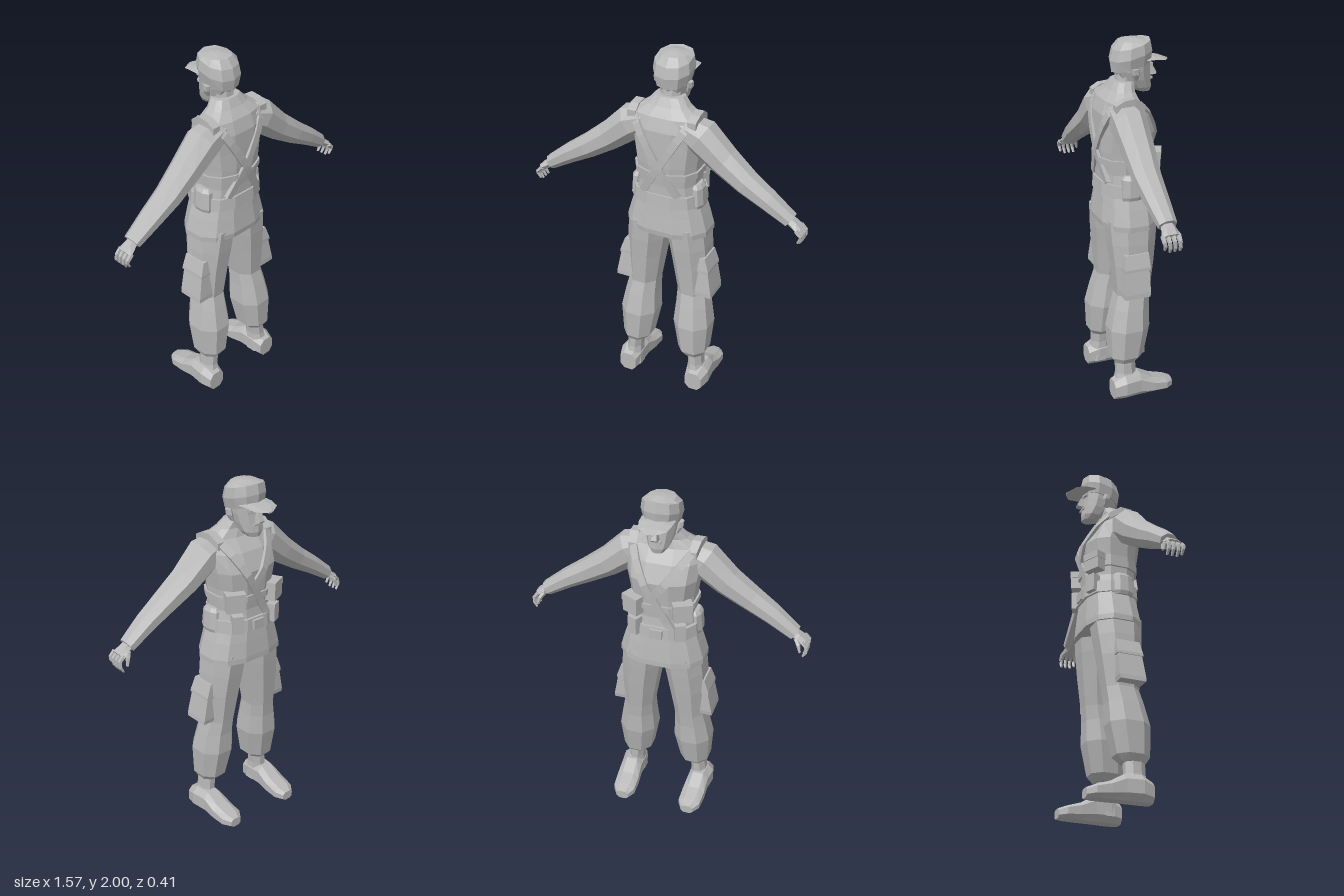
import * as THREE from 'three';

const grey = new THREE.MeshStandardMaterial({ color: 0xb8b8b8, flatShading: true });
grey.name = 'grey';

// Closed skin through rings. Each ring: c = centre, u and v = half-axis vectors.
// p < 1 makes the ring boxier. The skin is turned to face outwards.
function loft(rings, n = 8, p = 1, phase = Math.PI / n) {
  const pw = (t) => Math.sign(t) * Math.pow(Math.abs(t), p);
  const ring = [];
  for (let i = 0; i < n; i++) {
    const a = phase + (i * 2 * Math.PI) / n;
    ring.push([pw(Math.cos(a)), pw(Math.sin(a))]);
  }
  const mx = Math.max(...ring.map((q) => Math.abs(q[0])));
  const my = Math.max(...ring.map((q) => Math.abs(q[1])));
  const pts = [];
  for (const { c, u, v } of rings) {
    for (const [a, b] of ring) pts.push(c.map((t, k) => t + (u[k] * a) / mx + (v[k] * b) / my));
  }
  const idx = [];
  const last = (rings.length - 1) * n;
  for (let r = 0; r < last; r += n) {
    for (let i = 0; i < n; i++) {
      const j = (i + 1) % n;
      idx.push([r + i, r + j, r + n + j], [r + i, r + n + j, r + n + i]);
    }
  }
  for (let i = 1; i < n - 1; i++) idx.push([0, i + 1, i], [last, last + i, last + i + 1]);
  const P = pts.map((q) => new THREE.Vector3(...q));
  let volume = 0;
  for (const [a, b, c] of idx) volume += P[a].dot(P[b].clone().cross(P[c]));
  if (volume < 0) idx.forEach((t) => t.reverse());
  const g = new THREE.BufferGeometry();
  g.setAttribute('position', new THREE.Float32BufferAttribute(pts.flat(), 3));
  g.setIndex(idx.flat());
  const flat = g.toNonIndexed();
  flat.computeVertexNormals();
  return flat;
}

// Level rings from rows of [y, cx, rx, cz, rz]; tilt raises the -z side
const level = (rows, s = 1, tilt = 0) =>
  rows.map(([y, cx, rx, cz, rz]) => ({ c: [s * cx, y, cz], u: [rx, 0, 0], v: [0, -tilt * rz, rz] }));

// Upright rings along z from rows of [z, cx, hx, cy, hy]
const along = (rows, s = 1) =>
  rows.map(([z, cx, hx, cy, hy]) => ({ c: [s * cx, cy, z], u: [hx, 0, 0], v: [0, hy, 0] }));

// Rings along a limb in the xy plane from rows of [x, y, z, thickness, depth]
function limb(rows, s) {
  return rows.map(([x, y, z, t, d], i) => {
    const a = rows[Math.max(0, i - 1)], b = rows[Math.min(rows.length - 1, i + 1)];
    const dx = b[0] - a[0], dy = b[1] - a[1], l = Math.hypot(dx, dy);
    return { c: [s * x, y, z], u: [(-s * dy * t) / l, (dx * t) / l, 0], v: [0, 0, d] };
  });
}

const torsoRows = [
  [1.0, 0, 0.235, 0.04, 0.155], [1.03, 0, 0.235, 0.042, 0.157], [1.12, 0, 0.21, 0.04, 0.148],
  [1.2, 0, 0.185, 0.04, 0.14], [1.3, 0, 0.168, 0.045, 0.135], [1.42, 0, 0.175, 0.045, 0.145],
  [1.52, 0, 0.19, 0.04, 0.15], [1.62, 0, 0.2, 0.06, 0.128], [1.69, 0, 0.19, 0.075, 0.09],
  [1.735, 0, 0.12, 0.062, 0.065], [1.78, 0, 0.08, 0.045, 0.055],
];
const BOXY = 0.8;

// z of the jacket at x, y; side +1 is the back, -1 the chest
function jacketZ(x, y, side) {
  let i = 0;
  while (i < torsoRows.length - 2 && torsoRows[i + 1][0] < y) i++;
  const a = torsoRows[i], b = torsoRows[i + 1];
  const t = (y - a[0]) / (b[0] - a[0]);
  const mix = (k) => a[k] + (b[k] - a[k]) * t;
  const q = Math.min(1, Math.abs(x) / mix(2));
  return mix(3) + side * mix(4) * Math.pow(1 - Math.pow(q, 2 / BOXY), BOXY / 2);
}

// Flat strap lying on the jacket from (x0, y0) to (x1, y1)
function strap(x0, y0, x1, y1, side) {
  const l = Math.hypot(x1 - x0, y1 - y0), w = 0.021;
  const u = [(-(y1 - y0) / l) * w, ((x1 - x0) / l) * w, 0];
  const rings = [];
  for (let i = 0; i <= 8; i++) {
    const x = x0 + ((x1 - x0) * i) / 8, y = y0 + ((y1 - y0) * i) / 8;
    rings.push({ c: [x, y, jacketZ(x, y, side) + side * 0.004], u, v: [0, 0, 0.012] });
  }
  return loft(rings, 4);
}

export function createModel() {
  const model = new THREE.Group();
  model.name = 'soldier';
  const add = (name, geo) => {
    const m = new THREE.Mesh(geo, grey);
    m.name = name;
    model.add(m);
    return m;
  };
  const box = (name, w, h, d, x, y, z, ry = 0) => {
    const m = add(name, new THREE.BoxGeometry(w, h, d));
    m.position.set(x, y, z);
    m.rotation.y = ry;
  };

  // Jacket, belts and collar
  add('jacket', loft(level(torsoRows), 12, BOXY));
  add('belt', loft(level([[1.18, 0, 0.198, 0.04, 0.155], [1.25, 0, 0.192, 0.04, 0.15]]), 12, BOXY));
  add('chestBand', loft(level([[1.35, 0, 0.182, 0.045, 0.15], [1.385, 0, 0.184, 0.045, 0.152]]), 12, BOXY));
  box('buckle', 0.07, 0.055, 0.02, 0, 1.213, -0.115);

  // Harness straps: crossed on the back, one long and one short on the chest
  for (const s of [-1, 1]) {
    add('backStrap', strap(s * 0.165, 1.695, s * -0.1, 1.25, 1));
    add('shoulderPad', loft(along([
      [0.155, 0.17, 0.024, 1.675, 0.02], [0.11, 0.172, 0.024, 1.7, 0.02],
      [0.05, 0.17, 0.024, 1.705, 0.02], [-0.01, 0.16, 0.024, 1.665, 0.02]], s), 4));
  }
  add('longChestStrap', strap(0.16, 1.68, -0.09, 1.22, -1));
  add('shortChestStrap', strap(-0.16, 1.68, 0.03, 1.43, -1));

  // Neck, head and face
  add('neck', loft(level([[1.7, 0, 0.058, 0.04, 0.052], [1.83, 0, 0.058, 0.02, 0.055]])));
  add('head', loft(level([
    [1.708, 0, 0.033, -0.075, 0.034], [1.735, 0, 0.055, -0.05, 0.066], [1.78, 0, 0.07, -0.022, 0.09],
    [1.83, 0, 0.08, -0.008, 0.1], [1.89, 0, 0.085, -0.005, 0.105]]), 10, 0.9));
  add('nose', loft(level([
    [1.79, 0, 0.018, -0.115, 0.022], [1.8, 0, 0.016, -0.118, 0.026], [1.85, 0, 0.008, -0.105, 0.014]]), 4));
  box('brow', 0.1, 0.014, 0.02, 0, 1.856, -0.1);
  box('moustache', 0.055, 0.012, 0.018, 0, 1.776, -0.107);
  box('lip', 0.04, 0.01, 0.016, 0, 1.755, -0.1);
  for (const s of [-1, 1]) {
    add('ear', loft(level([
      [1.785, 0.078, 0.008, 0.0, 0.012], [1.82, 0.093, 0.014, 0.005, 0.022],
      [1.85, 0.096, 0.013, 0.01, 0.022]], s), 6));
  }

  // Cap with bill
  add('cap', loft(level([
    [1.85, 0, 0.088, -0.003, 0.108], [1.91, 0, 0.103, -0.002, 0.115],
    [1.965, 0, 0.096, -0.004, 0.102], [1.985, 0, 0.07, -0.01, 0.075], [1.996, 0, 0.02, -0.015, 0.02]], 1, 0.25)
    .map((r, i) => (i > 2 ? { ...r, v: [0, 0, r.v[2]] } : r)), 10, 0.9));
  add('capBill', loft(along([
    [-0.06, 0, 0.09, 1.885, 0.012], [-0.115, 0, 0.087, 1.885, 0.01],
    [-0.17, 0, 0.075, 1.876, 0.007], [-0.207, 0, 0.015, 1.867, 0.004]]), 6, 1, 0));

  for (const s of [-1, 1]) {
    // Sleeve and curled hand
    add('sleeve', loft(limb([
      [0.1, 1.645, 0.09, 0.06, 0.075], [0.2, 1.6, 0.088, 0.092, 0.09], [0.33, 1.49, 0.09, 0.076, 0.08],
      [0.46, 1.4, 0.1, 0.063, 0.07], [0.58, 1.325, 0.1, 0.052, 0.06], [0.705, 1.238, 0.095, 0.039, 0.047]], s), 8));
    add('palm', loft(limb([
      [0.69, 1.245, 0.095, 0.022, 0.032], [0.725, 1.222, 0.095, 0.022, 0.042],
      [0.76, 1.2, 0.098, 0.018, 0.052]], s), 6));
    for (let f = 0; f < 4; f++) {
      const z = 0.06 + f * 0.027;
      const drop = f === 3 ? 0.015 : 0;
      add('finger', loft(limb([
        [0.75, 1.207, z, 0.013, 0.012], [0.777, 1.18, z, 0.012, 0.011],
        [0.778, 1.15 + drop, z - 0.004, 0.01, 0.01], [0.762, 1.122 + drop, z - 0.006, 0.006, 0.007]], s), 5));
    }
    add('thumb', loft(limb([
      [0.715, 1.222, 0.07, 0.014, 0.016], [0.735, 1.195, 0.048, 0.013, 0.013],
      [0.748, 1.155, 0.038, 0.007, 0.007]], s), 5));

    // Trouser leg with cargo pocket
    add('trouserLeg', loft(level([
      [1.05, 0.11, 0.11, 0.045, 0.135], [0.92, 0.125, 0.108, 0.048, 0.125], [0.8, 0.138, 0.1, 0.05, 0.112],
      [0.62, 0.15, 0.082, 0.055, 0.093], [0.54, 0.158, 0.09, 0.07, 0.1], [0.42, 0.165, 0.104, 0.085, 0.113],
      [0.25, 0.175, 0.082, 0.1, 0.092], [0.215, 0.182, 0.055, 0.105, 0.065]], s), 8, 0.9));
    add('cargoPocket', loft(level([
      [0.635, 0.24, 0.05, 0.072, 0.072], [0.66, 0.238, 0.05, 0.07, 0.074],
      [0.84, 0.215, 0.04, 0.062, 0.066], [0.875, 0.2, 0.035, 0.06, 0.06]], s), 4));
    add('pocketFlap', loft(level([
      [0.785, 0.228, 0.042, 0.064, 0.074], [0.8, 0.227, 0.042, 0.064, 0.074],
      [0.875, 0.21, 0.034, 0.06, 0.068]], s), 4));

    // Boot
    add('bootShaft', loft(level([
      [0.03, 0.205, 0.06, 0.125, 0.065], [0.15, 0.195, 0.042, 0.11, 0.055],
      [0.26, 0.185, 0.045, 0.11, 0.055]], s), 8));
    add('bootFoot', loft(along([
      [0.193, 0.21, 0.05, 0.055, 0.055], [0.13, 0.212, 0.066, 0.07, 0.07], [0.04, 0.208, 0.06, 0.07, 0.07],
      [-0.04, 0.205, 0.065, 0.047, 0.047], [-0.12, 0.202, 0.063, 0.034, 0.034],
      [-0.163, 0.2, 0.035, 0.026, 0.026]], s), 8, 0.75));

    // Chest pouch, belt pouches
    box('chestPouch', 0.1, 0.1, 0.06, s * 0.135, 1.365, -0.085, s * -0.45);
    box('chestPouchFlap', 0.106, 0.04, 0.066, s * 0.135, 1.4, -0.086, s * -0.45);
    box('beltPouch', 0.06, 0.1, 0.05, s * 0.125, 1.24, -0.092, s * -0.45);
    add('sidePouch', loft(level([
      [1.17, 0.18, 0.025, 0.06, 0.055], [1.19, 0.182, 0.03, 0.06, 0.06],
      [1.285, 0.175, 0.03, 0.06, 0.055], [1.305, 0.17, 0.02, 0.06, 0.04]], s), 8));
  }
  return model;
}
